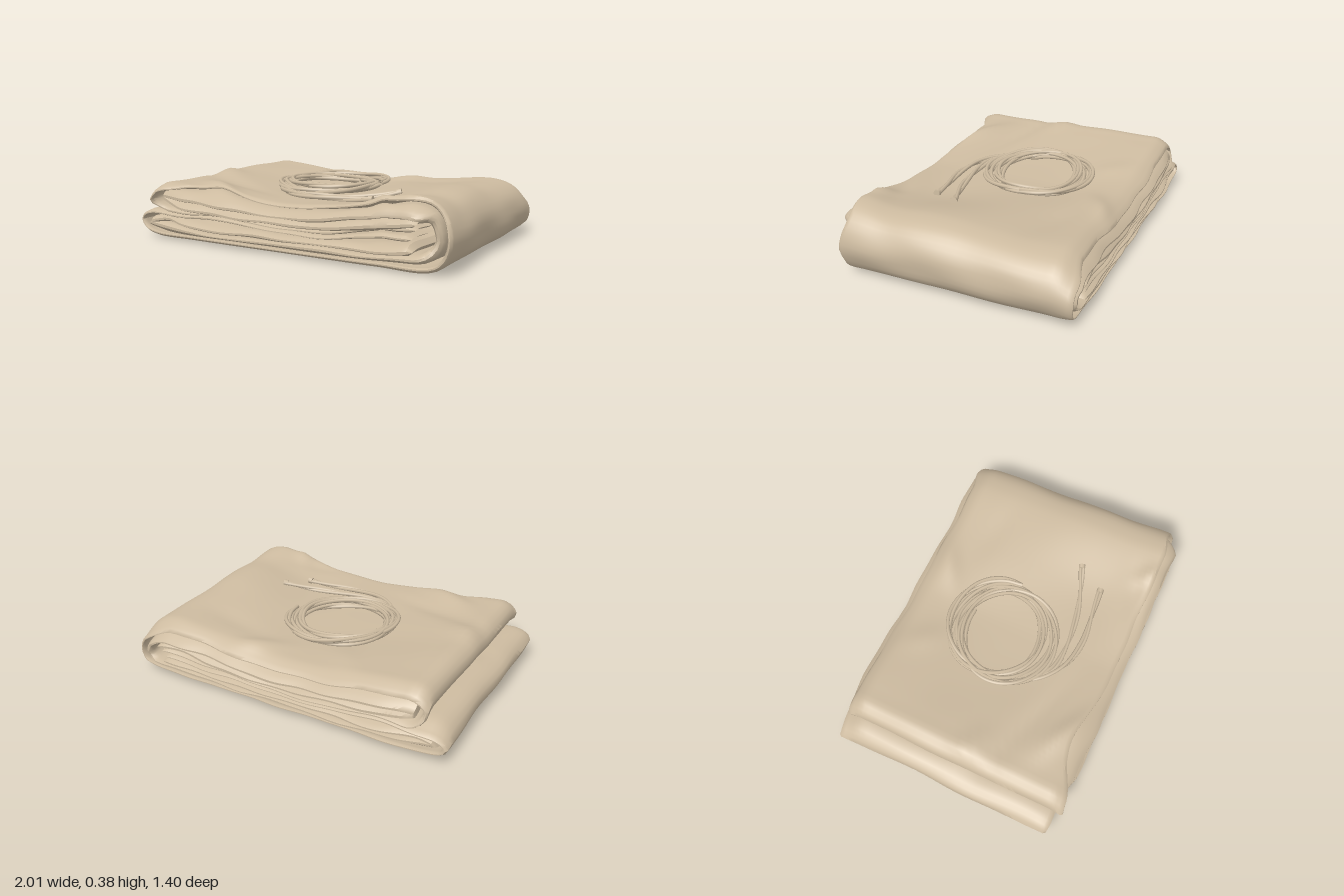
import * as THREE from 'three';
import { toCreasedNormals } from 'three/addons/utils/BufferGeometryUtils.js';

const { lerp, clamp, smoothstep } = THREE.MathUtils;
const LAYER_TOP = 0.335; // height of the top layer before warping

// Soft, irregular ripples made of a few sines
const ripple = (a, b, s = 0) =>
  (Math.sin(a * 5.1 + b * 3.3 + s) + Math.sin(a * 9.7 - b * 6.9 + s * 2.3) * 0.6 +
   Math.sin(a * 3.7 + b * 14.3 + s * 1.7) * 0.45) / 2;

// A straight wrinkle around (cx, cz), long in one direction and narrow across it
function wrinkle(x, z, cx, cz, angle, length, width) {
  const dx = x - cx, dz = z - cz, c = Math.cos(angle), s = Math.sin(angle);
  return Math.exp(-(((dx * c + dz * s) / length) ** 2) - ((-dx * s + dz * c) / width) ** 2);
}

// Wrinkles and hollows on the top: x, z, angle, length, width, height
const WRINKLES = [
  [-0.76, 0.08, 0.6, 0.12, 0.06, 0.02], [-0.55, 0.3, 0.35, 0.35, 0.05, -0.016],
  [-0.48, 0.52, 0.5, 0.2, 0.06, 0.03], [0.2, -0.54, -0.5, 0.16, 0.06, 0.018],
  [0.5, 0.55, -0.3, 0.2, 0.06, -0.012], [0.62, 0.6, 0.9, 0.1, 0.04, 0.015],
  [-0.3, -0.45, 0.8, 0.14, 0.07, 0.012], [0.45, -0.4, 0.2, 0.25, 0.07, -0.01],
  [0, 0, 0, 0.42, 0.36, -0.022], [0.36, 0.36, 0, 0.28, 0.2, -0.026],
  [0.8, 0.38, 0, 0.3, 0.12, -0.016], [0.8, 0.02, 0, 0.3, 0.14, 0.012],
];

// Height factor of the whole stack: low in the middle, raised at the corners
function heightFactor(x, z) {
  const f = clamp((z + 0.6) / 1.2, 0, 1);
  const corner = x < 0 ? lerp(0.07, 0.055, f) : lerp(0.046, 0.1, f);
  let h = 0.274 + corner * Math.pow(Math.min(Math.abs(x) / 0.78, 1), 1.5);
  h += 0.008 * ripple(x, z, 1);
  for (const [cx, cz, angle, length, width, height] of WRINKLES) {
    h += height * wrinkle(x, z, cx, cz, angle, length, width);
  }
  h *= 1 - 0.12 * smoothstep(z, 0.59, 0.72) - 0.22 * smoothstep(-z, 0.56, 0.72);
  return h / LAYER_TOP;
}

// A folded sheet: a path in x and y, given thickness and spread along z;
// softness is the share of its depth over which the hems are rounded off
function foldedSheet(path, thickness, seed, softness, zRange) {
  const N = 260, M = 36, ring = 2 * (M + 1);
  const curve = new THREE.CatmullRomCurve3(path.map(([x, y]) => new THREE.Vector3(x, y, 0)));
  curve.arcLengthDivisions = 1500;
  const pos = [], index = [];
  for (let i = 0; i <= N; i++) {
    const p = curve.getPointAt(i / N), t = curve.getTangentAt(i / N);
    const half = i === 0 || i === N ? 0 : thickness / 2;
    const [back, front] = zRange(p.x, p.y);
    for (let j = 0; j < ring; j++) {
      const upper = j <= M, k = (upper ? j : ring - 1 - j) / M;
      // Stations crowd towards the hems
      const v = lerp(k, (1 - Math.cos(k * Math.PI)) / 2, 0.7);
      const e = clamp(Math.min(v, 1 - v) / softness, 0, 1);
      const side = (upper ? half : -half) * Math.max(0.3, Math.sqrt(1 - (1 - e) ** 2));
      const z = lerp(back, front, v);
      let x = p.x - t.y * side, y = p.y + t.x * side;
      // Hems flutter more than the inside of the sheet
      const hem = smoothstep(Math.abs(z), 0.45, 0.7);
      const inside = smoothstep(y, 0.03, 0.08) * (1 - smoothstep(y, 0.25, 0.3));
      y += inside * (0.003 + 0.013 * hem) * ripple(x * 1.3, z + y * 2, seed);
      y *= heightFactor(x, z);
      // The underside turns up towards the hems
      y += 0.025 * smoothstep(Math.abs(z), 0.58, 0.7) * (1 - smoothstep(y, 0, 0.12));
      // Folded sides bulge unevenly along z
      const edge = smoothstep(Math.abs(x), 0.75, 0.98);
      if (x > 0) x *= 1 + 0.026 * (z - 0.6);
      x += edge * 0.009 * ripple(z * 1.3, y * 3, seed + 2);
      pos.push(x, Math.max(y, 0), z);
    }
  }
  for (let i = 0; i < N; i++) {
    for (let j = 0; j < ring; j++) {
      const a = i * ring + j, b = i * ring + (j + 1) % ring;
      index.push(a, b, a + ring, b, b + ring, a + ring);
    }
  }
  const geo = new THREE.BufferGeometry();
  geo.setAttribute('position', new THREE.Float32BufferAttribute(pos, 3));
  geo.setIndex(index);
  return toCreasedNormals(geo, 0.7);
}

// A rope: loose tail, then turns around an oval
function ropeCurve(tail, turns, seed, lift) {
  const pts = tail.map(([x, z]) => [x, z, 0.004]);
  const steps = Math.round(turns * 20), start = 2.5;
  for (let i = 0; i <= steps; i++) {
    const u = i / steps, a = start + u * turns * Math.PI * 2;
    const w = Math.sin(a * 0.63 + seed) * 0.036;
    pts.push([
      -0.07 + 0.02 * Math.sin(a * 0.31 + seed) + (0.28 + w) * Math.cos(a),
      -0.055 + 0.02 * Math.cos(a * 0.37 + seed) + (0.272 + w) * Math.sin(a),
      0.004 + lift * Math.min(1, u * 1.6) + 0.006 * Math.sin(a * 1.7 + seed),
    ]);
  }
  return new THREE.CatmullRomCurve3(pts.map(([x, z, up]) =>
    new THREE.Vector3(x, LAYER_TOP * heightFactor(x, z) + 0.018 + up, z)));
}

// One of the two strands twisted around a rope's path
function strandGeometry(curve, phase) {
  const n = 220, up = new THREE.Vector3(0, 1, 0), pts = [];
  for (let i = 0; i <= n; i++) {
    const a = phase + i * 0.22;
    const p = curve.getPointAt(i / n);
    const out = new THREE.Vector3().crossVectors(curve.getTangentAt(i / n), up).normalize();
    pts.push(p.addScaledVector(out, Math.cos(a) * 0.009).addScaledVector(up, Math.sin(a) * 0.006));
  }
  return new THREE.TubeGeometry(new THREE.CatmullRomCurve3(pts), 320, 0.0115, 6);
}

export function createModel() {
  const group = new THREE.Group();
  const canvas = new THREE.MeshStandardMaterial({ color: 0xcdbba0 });
  canvas.name = 'tan canvas';
  canvas.side = THREE.DoubleSide;
  const add = (parent, name, geo) => {
    const mesh = new THREE.Mesh(geo, canvas);
    mesh.name = name;
    parent.add(mesh);
  };

  // Outer cloth: wraps the stack, with two folds on the left and one on the right
  const cloth = new THREE.Group();
  cloth.name = 'foldedCloth';
  group.add(cloth);
  const outer = [
    [0.82, 0.2], [0.3, 0.195], [-0.3, 0.19], [-0.7, 0.19], [-0.81, 0.2], [-0.87, 0.255],
    [-0.83, 0.32], [-0.7, 0.335], [-0.2, 0.335], [0.4, 0.335], [0.76, 0.334], [0.895, 0.305],
    [0.965, 0.235], [0.985, 0.15], [0.955, 0.06], [0.88, 0.018], [0.6, 0.013], [0, 0.013],
    [-0.6, 0.013], [-0.87, 0.018], [-0.96, 0.05], [-0.985, 0.11], [-0.93, 0.16],
    [-0.75, 0.168], [0, 0.162], [0.8, 0.16],
  ];
  add(cloth, 'outerCloth', foldedSheet(outer, 0.024, 0.5, 0.01, (x, y) => {
    const top = smoothstep(y, 0.17, 0.28), right = smoothstep(x, 0.75, 0.92);
    const left = smoothstep(-x, 0.6, 0.85);
    const front = lerp(0.65, 0.63, top) - 0.025 * right + 0.065 * left * top
      - 0.06 * top * wrinkle(x, 0, -0.48, 0, 0, 0.17, 1) + 0.01 * ripple(x * 2, y * 4, 3);
    const back = lerp(-0.685, -0.655, top * (1 - right)) + 0.01 * ripple(x * 2, y * 3, 5);
    return [back, front];
  }));

  // Inner cloth: soft, plump folds filling the stack, showing at the front and back
  const inner = [
    [0.84, 0.237], [0.5, 0.236], [0, 0.236], [-0.7, 0.236], [-0.82, 0.262], [-0.7, 0.285],
    [0, 0.285], [0.7, 0.285], [0.85, 0.265], [0.915, 0.21], [0.93, 0.14], [0.88, 0.08],
    [0.7, 0.061], [0, 0.061], [-0.82, 0.062], [-0.93, 0.088], [-0.82, 0.113], [0, 0.111],
    [0.5, 0.111], [0.82, 0.111],
  ];
  add(cloth, 'innerCloth', foldedSheet(inner, 0.05, 4.2, 0.03, (x, y) => {
    const left = smoothstep(-x, 0.62, 0.85), right = smoothstep(x, 0.84, 0.92);
    return [-0.69 + 0.012 * ripple(x * 2, y * 9, 7) + 0.02 * left,
      0.682 - 0.045 * left - 0.06 * right + 0.012 * ripple(x * 2, y * 9, 9)];
  }));

  // Coiled rope lying on top, with two loose ends
  const coil = new THREE.Group();
  coil.name = 'coiledRope';
  group.add(coil);
  const ropes = [
    { tail: [[0.51, 0.2], [0.38, 0.25], [0.2, 0.3], [0, 0.32], [-0.15, 0.3], [-0.25, 0.21]], turns: 2.4, seed: 0.4, lift: 0.015 },
    { tail: [[0.42, 0.36], [0.28, 0.375], [0.08, 0.395], [-0.08, 0.365], [-0.2, 0.28], [-0.27, 0.18]], turns: 2.6, seed: 3.1, lift: 0.03 },
  ];
  for (const { tail, turns, seed, lift } of ropes) {
    const curve = ropeCurve(tail, turns, seed, lift);
    for (const phase of [0, Math.PI]) add(coil, 'ropeStrand', strandGeometry(curve, phase));
    // Bound tip
    const tip = new THREE.CylinderGeometry(0.02, 0.02, 0.025, 8);
    const dir = curve.getTangentAt(0);
    tip.applyQuaternion(new THREE.Quaternion().setFromUnitVectors(new THREE.Vector3(0, 1, 0), dir));
    const p = curve.getPointAt(0);
    tip.translate(p.x, p.y, p.z);
    add(coil, 'ropeTip', tip);
  }
  return group;
}
